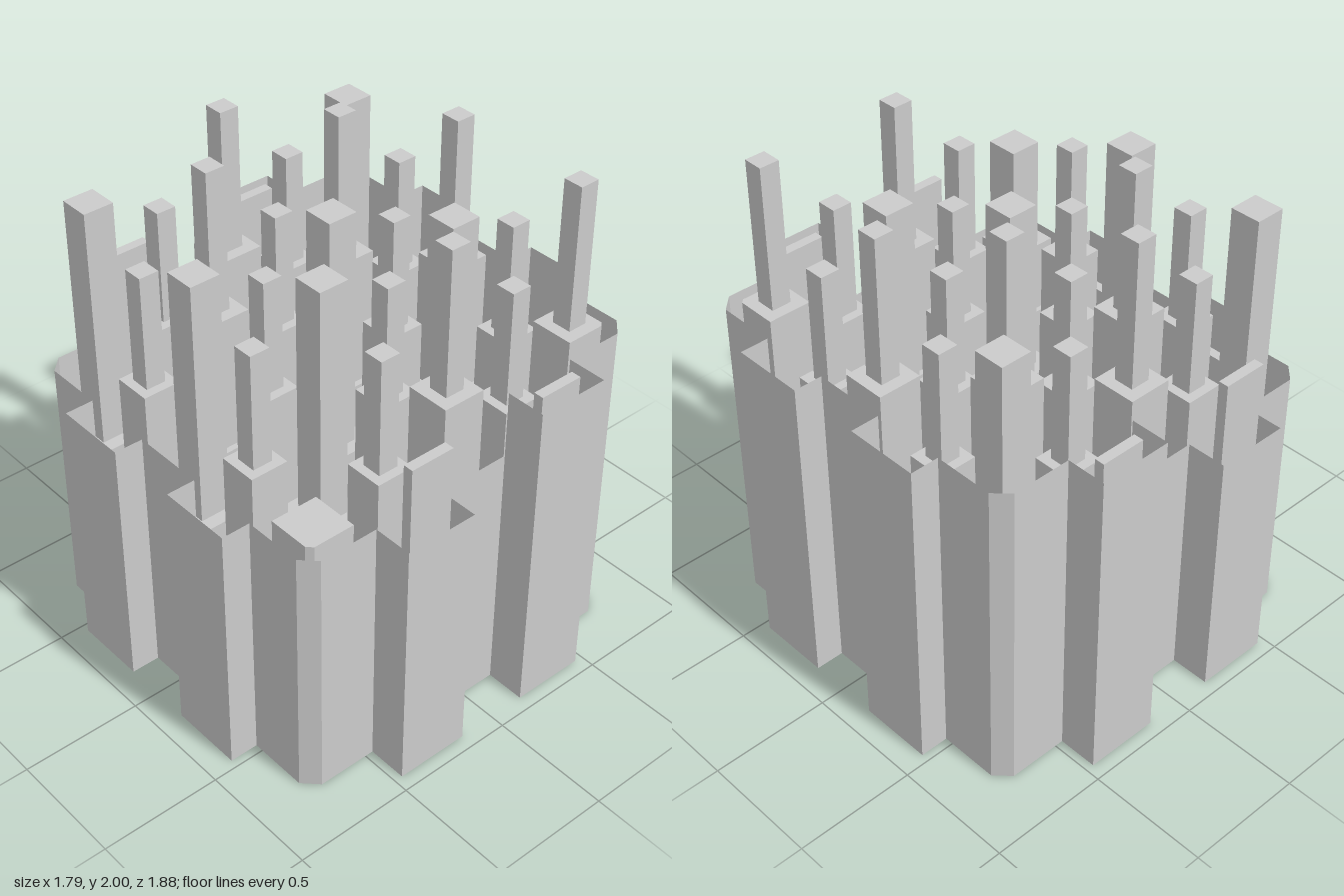
import * as THREE from 'three';

const mat = new THREE.MeshStandardMaterial({ color: 0xcccccc, flatShading: true });
const thin = new THREE.MeshStandardMaterial({ color: 0xcccccc, flatShading: true, side: THREE.DoubleSide });
const PITCH = 0.31, FLOOR = 0.5, LOW = 1.1, HIGH = 1.38;

// quarter of the ground plan, from the +x axis round to the +z axis
const quarter = [
  [0.775, 0.155], [0.895, 0.155], [0.895, 0.465], [0.775, 0.465], [0.775, 0.715],
  [0.715, 0.775], [0.465, 0.775], [0.465, 0.94], [0.155, 0.94], [0.155, 0.775],
];

function planOutline() {
  const flip = (sx, sz) => quarter.map(([x, z]) => [x * sx, z * sz]);
  return [...flip(1, 1), ...flip(-1, 1).reverse(), ...flip(-1, -1), ...flip(1, -1).reverse()];
}

export function createModel() {
  const root = new THREE.Group();
  const add = (parent, geometry, name, material = mat) => {
    const mesh = new THREE.Mesh(geometry, material);
    mesh.name = name;
    parent.add(mesh);
    return mesh;
  };

  // open-topped casing: thin upright panels along the outline, higher on the left side
  const casing = new THREE.Group();
  casing.name = 'casing';
  root.add(casing);
  const outline = planOutline();
  outline.forEach(([x0, z0], i) => {
    const [x1, z1] = outline[(i + 1) % outline.length];
    const h = (x0 + x1) / 2 > 0.15 ? HIGH : LOW;
    const panel = add(casing, new THREE.PlaneGeometry(Math.hypot(x1 - x0, z1 - z0), h), 'casingPanel', thin);
    panel.position.set((x0 + x1) / 2, h / 2, (z0 + z1) / 2);
    panel.rotation.y = Math.atan2(z1 - z0, x0 - x1);
  });

  // underside and inner floor
  const plan = new THREE.Shape(outline.map(([x, z]) => new THREE.Vector2(x, z)));
  for (const [name, y] of [['underside', 0], ['innerFloor', FLOOR]]) {
    add(root, new THREE.ShapeGeometry(plan).rotateX(Math.PI / 2), name, thin).position.y = y;
  }

  // square block with its outward corner cut off by c
  const block = (parent, name, hw, bottom, top, c = 0, sx = 1, sz = 1) => {
    if (!c) {
      add(parent, new THREE.BoxGeometry(2 * hw, top - bottom, 2 * hw), name).position.y = (top + bottom) / 2;
      return;
    }
    let pts = [[-hw, -hw], [hw, -hw], [hw, hw - c], [hw - c, hw], [-hw, hw]].map(([x, z]) => [x * sx, -z * sz]);
    const shape = new THREE.Shape(pts.map(([x, y]) => new THREE.Vector2(x, y)));
    const geo = new THREE.ExtrudeGeometry(shape, { depth: top - bottom, bevelEnabled: false });
    add(parent, geo.rotateX(-Math.PI / 2), name).position.y = bottom;
  };

  // stepped towers: [half width, top height] from the lowest tier up
  const kinds = {
    a: [[0.08, 1.205], [0.042, 1.69]],
    b: [[0.12, 0.8], [0.064, 1.83]],
    c: [[0.118, 0.8], [0.092, 1.39], [0.042, 2]],
    d: [[0.12, 0.8], [0.1, 1.115]],
  };
  const rows = ['bacab', 'acaca', 'babac', 'ababa', 'dacac'];
  rows.forEach((row, j) => [...row].forEach((kind, i) => {
    const tower = new THREE.Group();
    tower.name = 'tower';
    tower.position.set((i - 2) * PITCH, 0, (j - 2) * PITCH);
    root.add(tower);
    const corner = i % 4 === 0 && j % 4 === 0;
    let bottom = FLOOR;
    kinds[kind].forEach(([hw, top]) => {
      const cut = corner ? Math.max(0, (hw - 0.075) * 0.9) : 0;
      block(tower, 'towerTier', hw, bottom, top, cut, Math.sign(i - 2), Math.sign(j - 2));
      bottom = top;
    });
  }));

  // flat slabs standing inside the projecting bays
  const slab = (name, w, d, bottom, top, x, z) =>
    add(root, new THREE.BoxGeometry(w, top - bottom, d), name).position.set(x, (top + bottom) / 2, z);
  for (const s of [-1, 1]) {
    for (const x of [-PITCH, PITCH]) {
      slab('baySlabBase', 0.24, 0.09, FLOOR, 0.8, x, s * 0.86);
      slab('baySlab', 0.19, 0.042, 0.8, 1.39, x, s * 0.86);
    }
    slab('sideBaySlab', 0.042, 0.24, FLOOR, 0.9, -0.84, s * PITCH);
  }
  return root;
}
